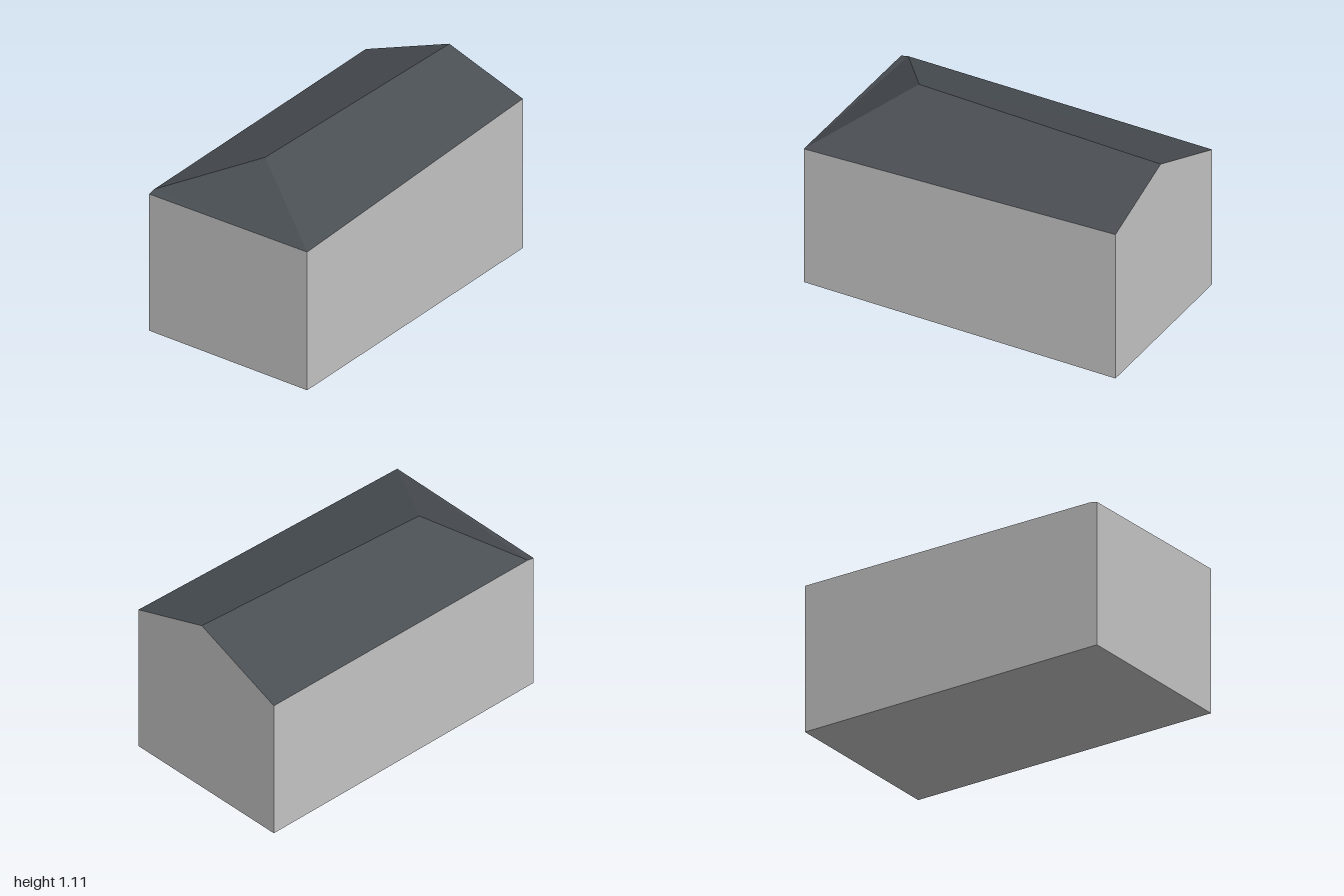
import * as THREE from 'three';

// Flat-shaded mesh from convex polygons, each listed counter-clockwise from outside
function polyMesh(name, material, polygons) {
  const pos = [];
  for (const p of polygons) {
    for (let i = 1; i < p.length - 1; i++) pos.push(...p[0], ...p[i], ...p[i + 1]);
  }
  const geometry = new THREE.BufferGeometry();
  geometry.setAttribute('position', new THREE.Float32BufferAttribute(pos, 3));
  geometry.computeVertexNormals();
  const mesh = new THREE.Mesh(geometry, material);
  mesh.name = name;
  return mesh;
}

export function createModel() {
  const wall = new THREE.MeshStandardMaterial({ color: 0xc4c4c4 });
  wall.name = 'light grey wall';
  const slate = new THREE.MeshStandardMaterial({ color: 0x4a4f54 });
  slate.name = 'dark slate roof';

  // Eave corners of the slightly skewed footprint
  const frontRight = [-0.95, 0.87, 0.583];
  const frontLeft = [1, 0.94, 0.49];
  const backLeft = [0.95, 0.88, -0.583];
  const backRight = [-1, 0.86, -0.497];
  const hipFoot = [-0.955, 0.87, -0.499];
  // Ridge ends: hip on the right, gable on the left
  const ridgeHip = [-0.585, 1.083, -0.02];
  const ridgeGable = [0.976, 1.112, -0.012];
  const ground = ([x, , z]) => [x, 0, z];

  const model = new THREE.Group();
  model.name = 'house';

  // Walls, each running up to its eave or gable
  const side = (name, a, b, ...between) =>
    model.add(polyMesh(name, wall, [[ground(a), ground(b), b, ...between, a]]));
  side('frontWall', frontRight, frontLeft);
  side('gableWall', frontLeft, backLeft, ridgeGable);
  side('backWall', backLeft, backRight, hipFoot);
  side('hipWall', backRight, frontRight);

  // Floor underside
  model.add(polyMesh('floor', wall, [[frontRight, backRight, backLeft, frontLeft].map(ground)]));

  // Roof slopes
  model.add(polyMesh('frontRoof', slate, [[frontRight, frontLeft, ridgeGable, ridgeHip]]));
  model.add(polyMesh('backRoof', slate, [[backLeft, hipFoot, ridgeHip, ridgeGable]]));
  model.add(polyMesh('hipRoof', slate, [[frontRight, ridgeHip, hipFoot, backRight]]));

  return model;
}
